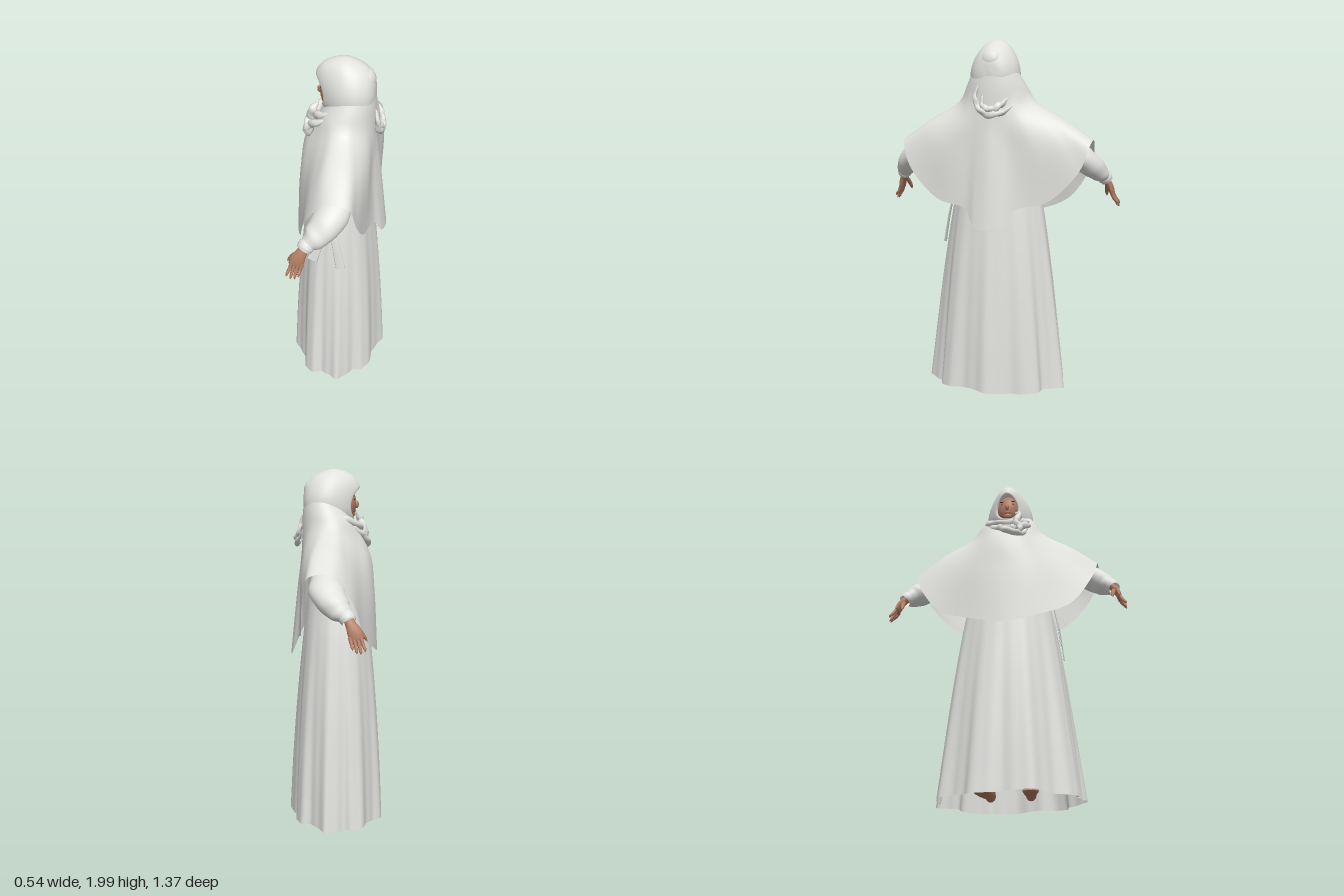
import * as THREE from 'three';

const V = (p) => new THREE.Vector3(...p);
const cloth = new THREE.MeshStandardMaterial({ color: 0xe1e1de, side: THREE.DoubleSide });
cloth.name = 'pale cloth';
const skin = new THREE.MeshStandardMaterial({ color: 0xb27d64 });
skin.name = 'skin';
const dark = new THREE.MeshStandardMaterial({ color: 0x3a2a24 });
dark.name = 'dark brown';

// Surface through closed rings of Vector3 that share one point count
function skinRings(rings) {
  const n = rings[0].length, pos = [], idx = [];
  rings.forEach((r) => r.forEach((p) => pos.push(p.x, p.y, p.z)));
  for (let i = 0; i < rings.length - 1; i++) {
    for (let j = 0; j < n; j++) {
      const k = (j + 1) % n;
      const a = i * n + j, b = i * n + k, c = b + n, d = a + n;
      idx.push(a, b, c, a, c, d);
    }
  }
  const g = new THREE.BufferGeometry();
  g.setAttribute('position', new THREE.Float32BufferAttribute(pos, 3));
  g.setIndex(idx);
  g.computeVertexNormals();
  return g;
}

// Smooth loft through a few control rings
function loft(control, around, along) {
  const sampled = control.map((r) => {
    const c = new THREE.CatmullRomCurve3(r.map(V), true);
    return Array.from({ length: around }, (_, j) => c.getPoint(j / around));
  });
  const columns = Array.from({ length: around }, (_, j) =>
    new THREE.CatmullRomCurve3(sampled.map((r) => r[j])));
  return skinRings(Array.from({ length: along + 1 }, (_, i) =>
    columns.map((c) => c.getPoint(i / along))));
}

// Oval limb along a path; radii are [along ref, across ref] pairs
function limb(points, radii, ref, sides = 16, steps = 24, wobble = 0) {
  const path = new THREE.CatmullRomCurve3(points.map(V));
  const rad = new THREE.CatmullRomCurve3(radii.map(([a, b]) => new THREE.Vector3(a, b, 0)));
  const rings = [];
  for (let i = 0; i <= steps; i++) {
    const t = i / steps, p = path.getPoint(t), T = path.getTangent(t), r = rad.getPoint(t);
    const N = V(ref).addScaledVector(T, -T.dot(V(ref))).normalize();
    const B = T.clone().cross(N);
    rings.push(Array.from({ length: sides }, (_, j) => {
      const q = (j / sides) * Math.PI * 2;
      const s = 1 + wobble * Math.sin(q * 3 + t * 17) + wobble * Math.sin(t * 31 + q);
      return p.clone().addScaledVector(N, r.x * s * Math.cos(q)).addScaledVector(B, r.y * s * Math.sin(q));
    }));
  }
  return skinRings(rings);
}

// Back-to-front half ring mirrored into a closed ring
function mirrorRing(half) {
  const left = half.map(([x, y, z]) => [x, y, z * 0.97]);
  const right = half.slice(1, -1).reverse().map(([x, y, z]) => [x, y, -z * 1.02]);
  return [...left, ...right];
}

// Tilted oval half ring around the head or neck
function ovalHalf(cx, rx, rz, y, tilt, lift) {
  return Array.from({ length: 11 }, (_, j) => {
    const a = (j / 10) * Math.PI, c = Math.cos(a), s = Math.sin(a);
    return [cx + rx * c, y + tilt * c + lift * s, rz * s];
  });
}

export function createModel() {
  const model = new THREE.Group();
  model.name = 'robedWoman';
  const add = (name, geo, mat, parent = model) => {
    const m = new THREE.Mesh(geo, mat);
    m.name = name;
    parent.add(m);
    return m;
  };
  const ball = (name, p, s, mat) => {
    const m = add(name, new THREE.SphereGeometry(1, 32, 20), mat);
    m.position.set(...p);
    m.scale.set(...s);
  };

  // Gown: oval sections [y, half depth, half width] with pleats deepening to the hem
  const gownRows = new THREE.CatmullRomCurve3([
    [1.7, 0.05, 0.06], [1.64, 0.1, 0.15], [1.5, 0.15, 0.19], [1.3, 0.17, 0.215],
    [1.05, 0.195, 0.265], [0.7, 0.226, 0.316], [0.35, 0.248, 0.356], [0.012, 0.262, 0.392],
  ].map(V));
  const gownRings = [];
  for (let i = 0; i <= 48; i++) {
    const { x: y, y: rx, z: rz } = gownRows.getPoint(i / 48);
    const f = Math.max(0, Math.min(1, (1.3 - y) / 1.3));
    gownRings.push(Array.from({ length: 160 }, (_, j) => {
      const a = (j / 160) * Math.PI * 2;
      const s = 1 + f * (0.055 * Math.cos(a * 9 + 0.2 * Math.sin(a)) + 0.014 * Math.sin(a * 23 + 1));
      return new THREE.Vector3(rx * s * Math.cos(a), y + f * f * 0.006 * Math.sin(a * 5), rz * s * Math.sin(a));
    }));
  }
  add('gown', skinRings(gownRings), cloth);

  // Cape: head and neck ovals, then shoulders, arms and a curved hem
  const capeRings = [
    ovalHalf(0.055, 0.13, 0.122, 1.79, 0.07, 0.04),
    ovalHalf(0.04, 0.157, 0.174, 1.69, 0.03, 0.05),
    [[0.202, 1.55, 0], [0.198, 1.56, 0.04], [0.192, 1.57, 0.08], [0.17, 1.6, 0.15], [0.125, 1.63, 0.2], [0.075, 1.65, 0.225],
      [0, 1.65, 0.225], [-0.055, 1.62, 0.2], [-0.115, 1.58, 0.15], [-0.165, 1.55, 0.09], [-0.19, 1.52, 0]],
    [[0.226, 1.35, 0], [0.215, 1.36, 0.06], [0.198, 1.38, 0.12], [0.195, 1.41, 0.26], [0.165, 1.475, 0.37], [0.12, 1.535, 0.4],
      [0, 1.54, 0.4], [-0.075, 1.46, 0.38], [-0.14, 1.38, 0.27], [-0.197, 1.34, 0.14], [-0.213, 1.33, 0]],
    [[0.268, 0.95, 0], [0.255, 0.965, 0.075], [0.215, 1.06, 0.14], [0.19, 1.11, 0.32], [0.175, 1.28, 0.49], [0.14, 1.43, 0.545],
      [0.02, 1.44, 0.545], [-0.09, 1.3, 0.515], [-0.15, 1.1, 0.38], [-0.21, 1.01, 0.18], [-0.232, 0.97, 0]],
  ].map(mirrorRing);
  add('cape', loft(capeRings, 160, 40), cloth);

  // Hood: pear-shaped ovals from the face opening to the back of the head
  const hoodRings = [
    // x top, x side, x bottom, y top, y bottom, half width
    [-0.118, -0.07, -0.085, 1.885, 1.735, 0.06],
    [-0.127, -0.08, -0.095, 1.9, 1.725, 0.068],
    [-0.088, -0.045, -0.065, 1.962, 1.69, 0.1],
    [0.015, 0.03, 0, 2, 1.66, 0.135],
    [0.1, 0.1, 0.09, 1.978, 1.66, 0.135],
    [0.16, 0.155, 0.16, 1.935, 1.7, 0.103],
    [0.185, 0.183, 0.187, 1.885, 1.76, 0.058],
    [0.192, 0.192, 0.192, 1.826, 1.824, 0.001],
  ].map(([xt, xs, xb, yt, yb, w]) => Array.from({ length: 12 }, (_, j) => {
    const a = (j / 12) * Math.PI * 2, c = Math.cos(a), s = Math.sin(a), mid = (xt + xb) / 2;
    return [mid + (xt - xb) / 2 * c + (xs - mid) * s * s, (yt + yb) / 2 + (yt - yb) / 2 * c, w * s * (1 - 0.16 * c)];
  }));
  add('hood', loft(hoodRings, 64, 36), cloth);
  ball('hairBun', [0.133, 1.88, 0], [0.056, 0.066, 0.068], cloth);

  // Face
  ball('face', [-0.025, 1.81, 0], [0.083, 0.105, 0.075], skin);
  ball('chin', [-0.075, 1.752, 0], [0.026, 0.025, 0.028], skin);
  ball('nose', [-0.108, 1.803, 0], [0.014, 0.022, 0.012], skin);
  ball('lips', [-0.098, 1.769, 0], [0.008, 0.008, 0.02], skin);
  for (const s of [1, -1]) {
    ball('eye', [-0.095, 1.83, s * 0.029], [0.005, 0.004, 0.012], dark);
    ball('eyebrow', [-0.093, 1.85, s * 0.03], [0.005, 0.003, 0.016], dark);
  }

  // Scarf gathered at the throat
  const scarf = new THREE.Group();
  scarf.name = 'scarf';
  model.add(scarf);
  const foldRadii = [[0.004, 0.004], [0.018, 0.022], [0.02, 0.024], [0.018, 0.02], [0.004, 0.004]];
  [
    [[0.02, 1.74, -0.14], [-0.07, 1.71, -0.115], [-0.13, 1.67, 0], [-0.09, 1.7, 0.1], [-0.01, 1.74, 0.13]],
    [[-0.03, 1.7, -0.12], [-0.1, 1.66, -0.085], [-0.155, 1.62, 0.03], [-0.11, 1.66, 0.12], [-0.04, 1.7, 0.13]],
    [[-0.09, 1.68, -0.08], [-0.145, 1.63, -0.03], [-0.17, 1.585, 0.04], [-0.155, 1.58, 0.09], [-0.12, 1.63, 0.125]],
    [[-0.105, 1.76, 0.05], [-0.13, 1.72, 0.075], [-0.15, 1.66, 0.06], [-0.165, 1.61, 0.085], [-0.17, 1.555, 0.06]],
  ].forEach((p) => add('scarfFold', limb(p, foldRadii, [0.3, 0.3, 1], 14, 48, 0.1), cloth, scarf));

  // Ruffled knot at the back of the cape
  const ruffleRadii = [[0.003, 0.003], [0.014, 0.013], [0.017, 0.02], [0.016, 0.018], [0.003, 0.003]];
  [
    [[0.2, 1.745, 0.06], [0.212, 1.69, 0.075], [0.217, 1.625, 0.055], [0.225, 1.59, 0], [0.22, 1.6, -0.08], [0.2, 1.635, -0.135]],
    [[0.205, 1.69, 0.035], [0.22, 1.635, 0.03], [0.228, 1.615, -0.02], [0.215, 1.64, -0.07], [0.195, 1.68, -0.11]],
  ].forEach((p) => add('backRuffle', limb(p, ruffleRadii, [1, 0, 0], 14, 48, 0.14), cloth, scarf));

  for (const s of [1, -1]) {
    const side = (pts) => pts.map(([x, y, z]) => [x, y, z * s]);
    const label = s > 0 ? 'left' : 'right';

    // Sleeve, gathered to a cuff
    add(label + 'Sleeve', limb(
      side([[0.04, 1.5, 0.2], [0.05, 1.42, 0.37], [0.045, 1.35, 0.49], [-0.015, 1.275, 0.57], [-0.06, 1.235, 0.605]]),
      [[0.07, 0.06], [0.08, 0.065], [0.09, 0.068], [0.07, 0.057], [0.038, 0.034]], [1, 0, 0], 24, 36, 0.025), cloth);
    add(label + 'Cuff', limb(
      side([[-0.047, 1.25, 0.594], [-0.062, 1.232, 0.608], [-0.072, 1.215, 0.618]]),
      [[0.04, 0.036], [0.044, 0.04], [0.038, 0.034]], [1, 0, 0], 24, 8, 0.03), cloth);

    // Hand: palm, four fingers and a thumb
    const hand = new THREE.Group();
    hand.name = label + 'Hand';
    model.add(hand);
    add('palm', limb(side([[-0.06, 1.24, 0.6], [-0.082, 1.2, 0.624], [-0.1, 1.165, 0.638], [-0.113, 1.128, 0.647], [-0.115, 1.12, 0.649]]),
      [[0.024, 0.019], [0.029, 0.018], [0.038, 0.016], [0.036, 0.012], [0.002, 0.002]], [1, 0, 0]), skin, hand);
    for (let i = 0; i < 4; i++) {
      const x = -0.136 + i * 0.019, tip = [1.074, 1.06, 1.063, 1.08][i];
      add('finger', limb(side([[x + 0.004, 1.14, 0.645], [x - 0.006, 1.108, 0.659], [x - 0.016 + i * 0.002, tip + 0.012, 0.675], [x - 0.018 + i * 0.002, tip, 0.682]]),
        [[0.0095, 0.0095], [0.009, 0.009], [0.0075, 0.0075], [0.001, 0.001]], [1, 0, 0], 10, 12), skin, hand);
    }
    add('thumb', limb(side([[-0.09, 1.195, 0.618], [-0.128, 1.165, 0.61], [-0.152, 1.135, 0.606], [-0.165, 1.115, 0.605]]),
      [[0.016, 0.014], [0.013, 0.012], [0.01, 0.009], [0.001, 0.001]], [0, 0, 1], 10, 12), skin, hand);

    // Leg and bare foot
    add(label + 'Leg', limb(side([[0.04, 0.6, 0.1], [0.045, 0.3, 0.105], [0.04, 0.13, 0.11], [0.03, 0.06, 0.11]]),
      [[0.055, 0.05], [0.048, 0.045], [0.031, 0.028], [0.03, 0.028]], [1, 0, 0]), skin);
    add(label + 'Foot', limb(side([[0.085, 0.06, 0.11], [0.07, 0.06, 0.11], [0.02, 0.075, 0.112], [-0.06, 0.055, 0.12], [-0.13, 0.04, 0.128], [-0.165, 0.036, 0.132]]),
      [[0.002, 0.002], [0.03, 0.027], [0.042, 0.032], [0.03, 0.04], [0.015, 0.042], [0.002, 0.01]], [0, 1, 0], 18, 28), skin);
  }

  // Sash ribbons hanging at one side
  [
    [[-0.03, 1.2, 0.25], [-0.06, 1.02, 0.285], [-0.105, 0.87, 0.302], 0.03],
    [[-0.01, 1.2, 0.25], [0.025, 1.02, 0.29], [0.06, 0.84, 0.31], 0.027],
  ].forEach(([a, b, c, w]) => add('sashRibbon',
    limb([a, b, c], [[w * 0.4, 0.003], [w * 0.8, 0.003], [w, 0.003]], [1, 0, 0], 12, 16), cloth));

  return model;
}
